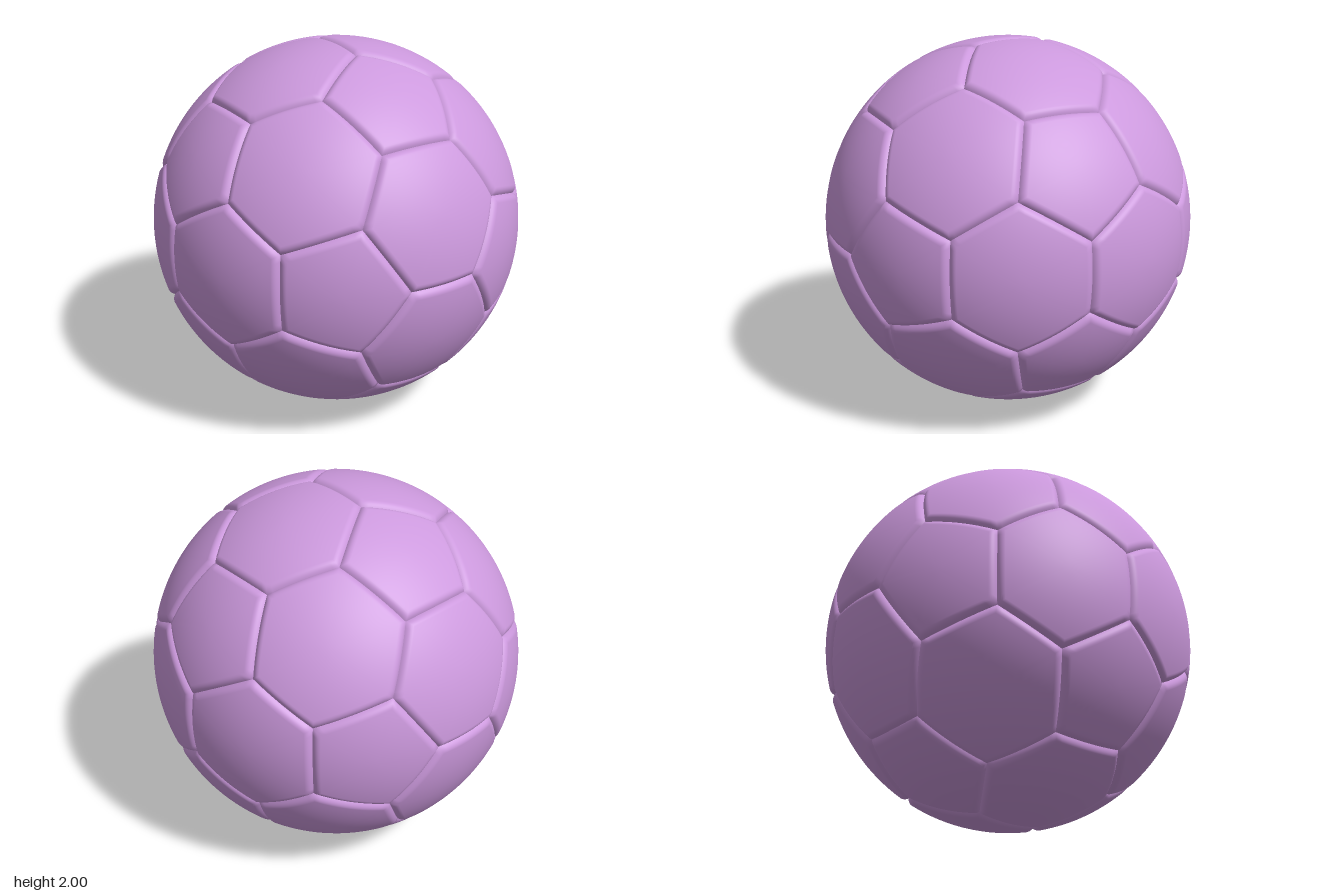
import * as THREE from 'three';

const SEAM_WIDTH = 0.042;  // angular width of the rounded panel rim
const SEAM_DEPTH = 0.022;  // how far the rim sinks into the seam
const SEGMENTS = 12;       // steps along each panel side
const INNER = 8, RIM = 7;  // rings across the panel and across its rim

// The twelve pentagon centres: corners of an icosahedron
function pentagonCentres() {
  const phi = (1 + Math.sqrt(5)) / 2, out = [];
  for (const a of [1, -1]) for (const b of [phi, -phi]) {
    out.push([a, 0, b], [b, a, 0], [0, b, a]);
  }
  return out.map(p => new THREE.Vector3(...p).normalize());
}

// Point on the arc from p towards q, at the panel-corner angle from p
function cornerBetween(p, q) {
  const axis = p.clone().cross(q).normalize();
  return p.clone().applyAxisAngle(axis, THREE.MathUtils.degToRad(20.8));
}

// Sort corners counter-clockwise around the centre, seen from outside
function sortAround(centre, corners) {
  const u = corners[0].clone().projectOnPlane(centre).normalize();
  const v = centre.clone().cross(u);
  const angle = c => Math.atan2(c.dot(v), c.dot(u));
  return corners.sort((a, b) => angle(a) - angle(b));
}

// Spherical panel whose rim curves down into the seam
function panelGeometry(centre, unsorted) {
  const corners = sortAround(centre, unsorted), n = corners.length;
  const sides = corners.map((c, i) => c.clone().cross(corners[(i + 1) % n]).normalize());
  const apothem = Math.asin(sides[0].dot(centre));
  const rimShare = SEAM_WIDTH / apothem;

  // Ring positions from centre (0) to seam (1), denser on the rim
  const rings = [];
  for (let i = 1; i <= INNER; i++) rings.push((1 - rimShare) * i / INNER);
  for (let i = 1; i <= RIM; i++) rings.push(1 - rimShare * (1 - i / RIM) ** 1.5);

  const positions = [...centre.toArray()], index = [];
  const columns = n * SEGMENTS;
  rings.forEach((s, r) => {
    for (let j = 0; j < columns; j++) {
      const side = Math.floor(j / SEGMENTS), t = (j % SEGMENTS) / SEGMENTS;
      const edge = corners[side].clone().lerp(corners[(side + 1) % n], t).normalize();
      const p = centre.clone().lerp(edge, s).normalize();
      const distance = Math.min(...sides.map(m => Math.asin(m.dot(p))));
      const k = 1 - THREE.MathUtils.clamp(distance / SEAM_WIDTH, 0, 1);
      p.multiplyScalar(1 - SEAM_DEPTH * k ** 2.4);
      positions.push(p.x, p.y, p.z);

      const next = (j + 1) % columns, here = 1 + r * columns;
      if (r === 0) index.push(0, here + j, here + next);
      else {
        const below = here - columns;
        index.push(below + j, here + j, here + next, below + j, here + next, below + next);
      }
    }
  });
  const geometry = new THREE.BufferGeometry();
  geometry.setAttribute('position', new THREE.Float32BufferAttribute(positions, 3));
  geometry.setIndex(index);
  geometry.computeVertexNormals();
  return geometry;
}

export function createModel() {
  const ball = new THREE.Group();
  ball.name = 'ball';
  const material = new THREE.MeshStandardMaterial({ color: 0xcc99dd });
  const addPanel = (name, centre, corners) => {
    const mesh = new THREE.Mesh(panelGeometry(centre, corners), material);
    mesh.name = name;
    mesh.position.y = 1;
    ball.add(mesh);
  };

  const centres = pentagonCentres();
  const adjacent = (p, q) => p !== q && p.dot(q) > 0.4;

  // Twelve five-sided panels
  for (const p of centres) {
    const corners = centres.filter(q => adjacent(p, q)).map(q => cornerBetween(p, q));
    addPanel('pentagonPanel', p, corners);
  }

  // Twenty six-sided panels, one between each three neighbouring pentagons
  centres.forEach((a, i) => centres.forEach((b, j) => centres.forEach((c, k) => {
    if (i >= j || j >= k || !adjacent(a, b) || !adjacent(b, c) || !adjacent(a, c)) return;
    const pairs = [[a, b], [b, a], [b, c], [c, b], [c, a], [a, c]];
    const centre = a.clone().add(b).add(c).normalize();
    addPanel('hexagonPanel', centre, pairs.map(([p, q]) => cornerBetween(p, q)));
  })));

  return ball;
}
